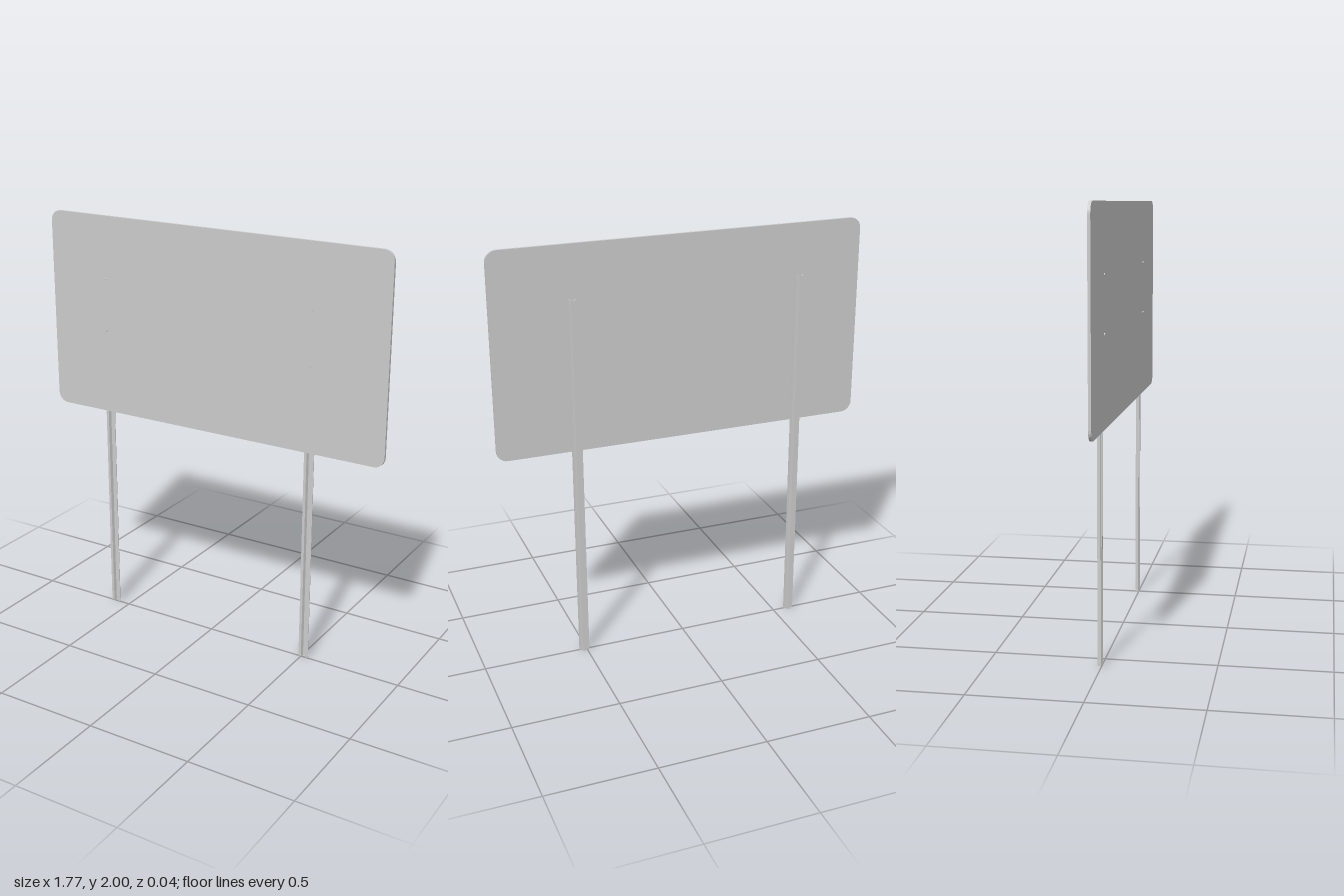
import * as THREE from 'three';

const material = new THREE.MeshStandardMaterial({ color: 0xcccccc, flatShading: true, side: THREE.DoubleSide });

function addMesh(parent, name, geometry, x = 0, y = 0, z = 0) {
  const mesh = new THREE.Mesh(geometry, material);
  mesh.name = name;
  mesh.position.set(x, y, z);
  parent.add(mesh);
}

// Flat sheet with rounded corners
function panelGeometry(w, h, r, depth) {
  const x = w / 2, y = h / 2;
  const shape = new THREE.Shape();
  shape.absarc(x - r, y - r, r, 0, Math.PI / 2);
  shape.absarc(-x + r, y - r, r, Math.PI / 2, Math.PI);
  shape.absarc(-x + r, -y + r, r, Math.PI, Math.PI * 1.5);
  shape.absarc(x - r, -y + r, r, Math.PI * 1.5, Math.PI * 2);
  return new THREE.ExtrudeGeometry(shape, { depth, bevelEnabled: false, curveSegments: 3 });
}

// Hat-section channel: flanges against the panel, web bulging to the back
function postGeometry(height) {
  const half = [[0.012, 0], [0.025, 0], [0.025, 0.003], [0.014, 0.003], [0.010, 0.018]];
  const right = [[0.008, 0.015], ...half];
  const left = right.map(([x, y]) => [-x, y]).reverse();
  const shape = new THREE.Shape([...right, ...left].map(([x, y]) => new THREE.Vector2(x, y)));
  return new THREE.ExtrudeGeometry(shape, { depth: height, bevelEnabled: false }).rotateX(-Math.PI / 2);
}

export function createModel() {
  const group = new THREE.Group();
  group.name = 'signBoard';

  addMesh(group, 'panel', panelGeometry(1.766, 0.956, 0.05, 0.013), 0, 1.522, 0.0005);

  const post = postGeometry(1.755);
  const bolt = new THREE.CylinderGeometry(0.006, 0.006, 0.006, 6).rotateX(Math.PI / 2);
  for (const x of [-0.58, 0.512]) {
    addMesh(group, 'post', post, x);
    // Two bolt heads on the panel face in front of each post
    for (const y of [1.45, 1.7]) addMesh(group, 'bolt', bolt, x, y, 0.015);
  }
  return group;
}
